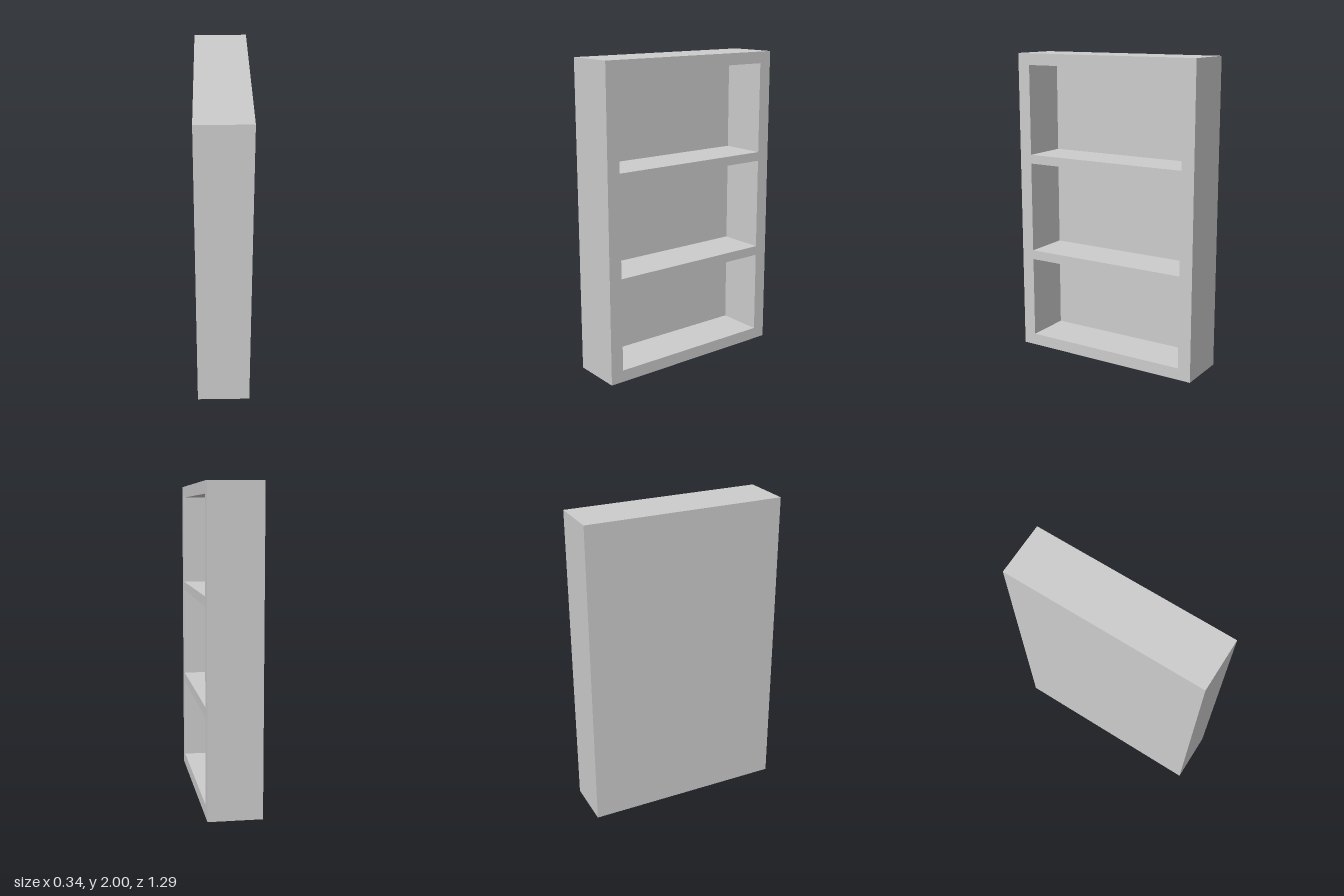
import * as THREE from 'three';

const WIDTH = 1.294, HEIGHT = 2, DEPTH = 0.336, BACK = 0.03;
const OPENING = 1.122; // clear width between the side posts
const BAYS = [[0.077, 0.618], [0.68, 1.278], [1.337, 1.925]]; // floor and ceiling of each bay

// Rectangle centred on x, from y0 to y1
function rectPoints(width, y0, y1) {
  const h = width / 2;
  return [[-h, y0], [h, y0], [h, y1], [-h, y1]].map(([x, y]) => new THREE.Vector2(x, y));
}

export function createModel() {
  const model = new THREE.Group();
  model.name = 'bookcase';
  const material = new THREE.MeshStandardMaterial({ color: 0xcccccc, flatShading: true });

  // Posts, top, base and shelves in one piece, with bays opening toward +x
  const outline = new THREE.Shape(rectPoints(WIDTH, 0, HEIGHT));
  for (const [y0, y1] of BAYS) outline.holes.push(new THREE.Path(rectPoints(OPENING, y0, y1)));
  const frameGeometry = new THREE.ExtrudeGeometry(outline, { depth: DEPTH - BACK, bevelEnabled: false });
  frameGeometry.rotateY(Math.PI / 2);
  frameGeometry.translate(-DEPTH / 2 + BACK, 0, 0);
  const frame = new THREE.Mesh(frameGeometry, material);
  frame.name = 'shelfFrame';
  model.add(frame);

  // Thin panel closing the bays on the -x side
  const back = new THREE.Mesh(new THREE.BoxGeometry(BACK, HEIGHT, WIDTH), material);
  back.name = 'backPanel';
  back.position.set(-DEPTH / 2 + BACK / 2, HEIGHT / 2, 0);
  model.add(back);

  return model;
}
